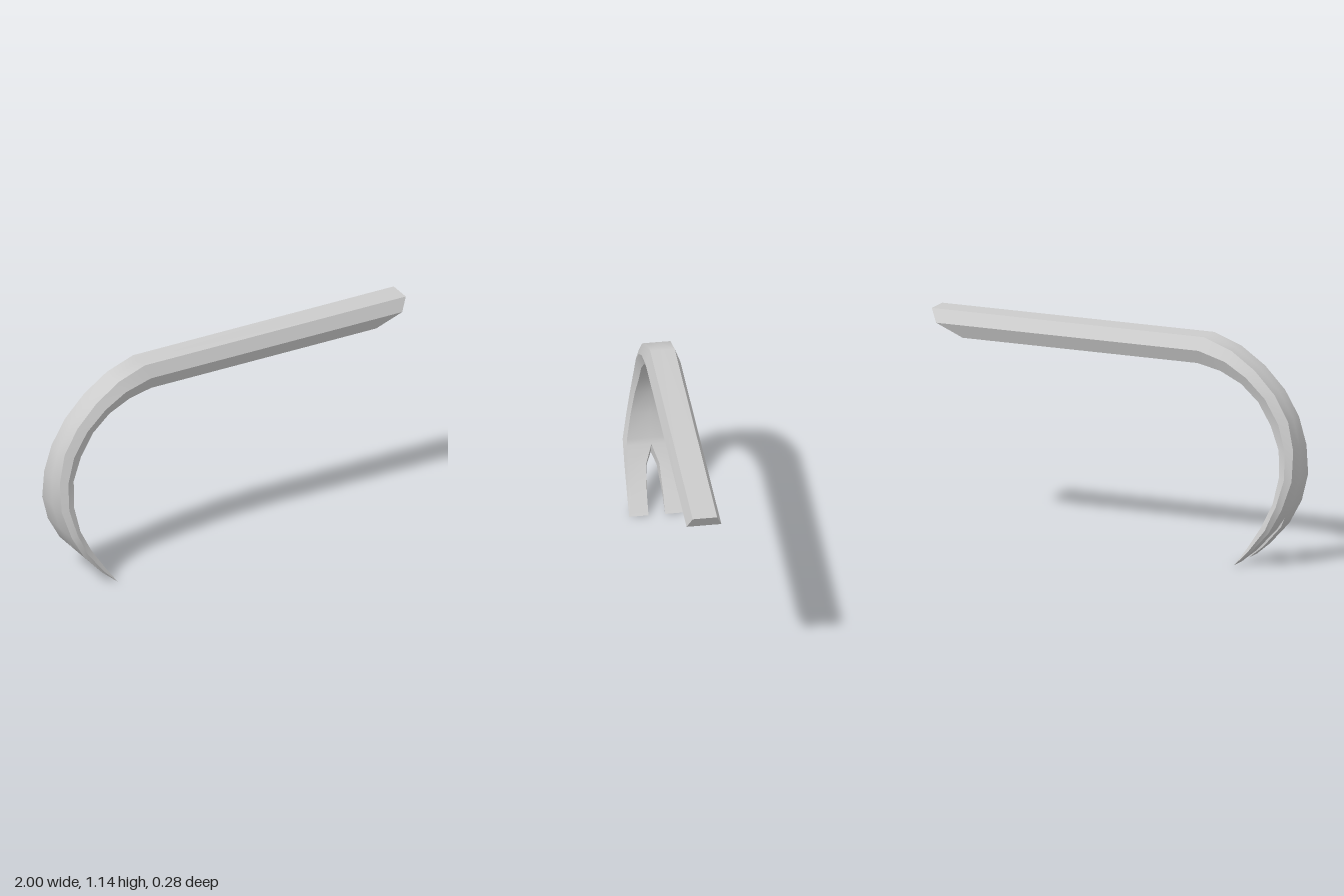
import * as THREE from 'three';

// Stations along the bar, from the straight end to the claw tip:
// outer x,y | middle x,y | inner x,y | flat half width, full half width | outer slot, inner slot
const STATIONS = [
  [1.0, 1.14, 0.965, 1.073, 0.83, 1.003, 0.062, 0.088, 0, 0],
  [-0.5, 1.14, -0.48, 1.073, -0.465, 1.003, 0.062, 0.088, 0, 0],
  [-0.65, 1.085, -0.625, 1.03, -0.59, 0.975, 0.062, 0.087, 0, 0],
  [-0.78, 0.995, -0.74, 0.96, -0.705, 0.92, 0.063, 0.086, 0, 0],
  [-0.89, 0.88, -0.845, 0.86, -0.80, 0.835, 0.064, 0.085, 0, 0],
  [-0.965, 0.75, -0.92, 0.735, -0.87, 0.72, 0.066, 0.085, 0, 0],
  [-1.0, 0.605, -0.96, 0.60, -0.92, 0.60, 0.08, 0.096, 0, 0],
  [-1.0, 0.45, -0.965, 0.46, -0.93, 0.465, 0.10, 0.115, 0, 0],
  [-0.955, 0.305, -0.93, 0.32, -0.905, 0.33, 0.122, 0.14, 0, 0],
  [-0.916, 0.235, -0.907, 0.275, -0.89, 0.30, 0.123, 0.14, 0, 0],
  [-0.885, 0.18, -0.87, 0.195, -0.845, 0.21, 0.126, 0.139, 0.025, 0.034],
  [-0.78, 0.065, -0.775, 0.075, -0.765, 0.09, 0.124, 0.139, 0.04, 0.041],
  [-0.70, 0, -0.70, 0, -0.70, 0, 0.139, 0.139, 0.042, 0.042],
];
const SLOT_START = 9;

// Half cross-section: slot edge, round the outside, back to the slot edge
function halfSection([ox, oy, mx, my, ix, iy, flat, full, so, si], side) {
  return [
    [ox, oy, so * side], [ox, oy, flat * side], [mx, my, full * side],
    [ix, iy, flat * side], [ix, iy, si * side],
  ];
}

function createHalf(side, material) {
  const positions = [];
  const index = [];
  const tri = (a, b, c) => (side > 0 ? index.push(a, b, c) : index.push(a, c, b));
  const sections = STATIONS.map((s) => halfSection(s, side));

  // One facet along the bar, smooth along its length and sharp at its sides
  function strip(i, j, from) {
    const base = positions.length / 3;
    const rows = sections.slice(from);
    rows.forEach((r) => positions.push(...r[i], ...r[j]));
    for (let k = 0; k < rows.length - 1; k++) {
      const a = base + k * 2;
      tri(a, a + 2, a + 1);
      tri(a + 1, a + 2, a + 3);
    }
  }
  for (let i = 0; i < 4; i++) strip(i, i + 1, 0);
  strip(4, 0, SLOT_START); // wall of the nail slot

  // Two bevelled faces closing the straight end
  const [top, topSide, midSide, lowSide, low] = sections[0];
  const mid = [midSide[0], midSide[1], 0];
  for (const quad of [[top, topSide, midSide, mid], [mid, midSide, lowSide, low]]) {
    const base = positions.length / 3;
    quad.forEach((p) => positions.push(...p));
    tri(base, base + 1, base + 2);
    tri(base, base + 2, base + 3);
  }

  const geometry = new THREE.BufferGeometry();
  geometry.setAttribute('position', new THREE.Float32BufferAttribute(positions, 3));
  geometry.setIndex(index);
  geometry.computeVertexNormals();
  const mesh = new THREE.Mesh(geometry, material);
  mesh.name = side > 0 ? 'frontHalf' : 'backHalf';
  return mesh;
}

export function createModel() {
  const group = new THREE.Group();
  group.name = 'crowbar';
  const material = new THREE.MeshStandardMaterial({ color: 0xcccccc });
  for (const side of [1, -1]) group.add(createHalf(side, material));
  return group;
}
